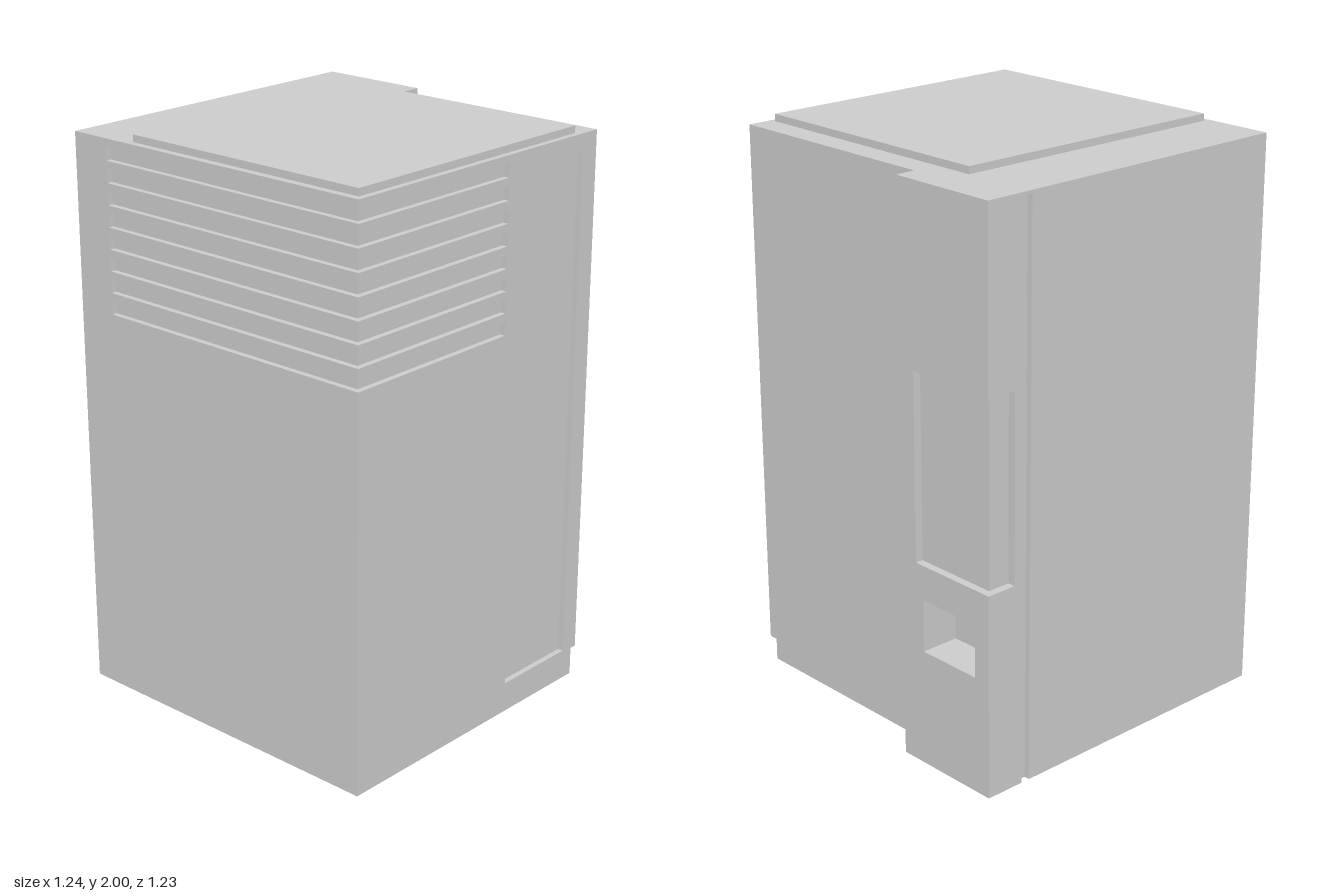
import * as THREE from 'three';

const X = 0.6175, FRONT = 0.6125, BACK = -0.545, POST_BACK = -0.6175, TOP = 1.975;
const SKIN = 0.02;                 // thickness of the outer panels
const POST_X = -0.21, POST_Z = -0.474, SEAM_Z = -0.44;
const material = new THREE.MeshStandardMaterial({ color: 0xcccccc });

function add(group, name, geometry) {
  const mesh = new THREE.Mesh(geometry, material);
  mesh.name = name;
  group.add(mesh);
  return mesh;
}

// box given by its limits on each axis
function box(group, name, [x0, x1], [y0, y1], [z0, z1]) {
  const g = new THREE.BoxGeometry(x1 - x0, y1 - y0, z1 - z0);
  g.translate((x0 + x1) / 2, (y0 + y1) / 2, (z0 + z1) / 2);
  return add(group, name, g);
}

const shapeOf = (points) => new THREE.Shape(points.map(([a, b]) => new THREE.Vector2(a, b)));
const extrude = (shape, depth) => new THREE.ExtrudeGeometry(shape, { depth, bevelEnabled: false });

// plan outline of [x, z] points raised from y0 to y1
function slab(group, name, plan, y0, y1) {
  const g = extrude(shapeOf(plan.map(([x, z]) => [x, -z])), y1 - y0);
  g.rotateX(-Math.PI / 2).translate(0, y0, 0);
  return add(group, name, g);
}

// stepped edge that cuts the eight louvre slots, from bottom to top
function louvreEdge(edge, inner) {
  const points = [];
  for (let i = 0; i < 8; i++) {
    const y = 1.382 + i * 0.0743;
    points.push([edge, y], [inner, y], [inner, y + 0.046], [edge, y + 0.046]);
  }
  return points;
}

export function createModel() {
  const model = new THREE.Group();
  model.name = 'cabinet';

  // main body, rear part and recessed kick base
  box(model, 'bodyCore', [-X, X - SKIN], [0, TOP], [SEAM_Z, FRONT - SKIN]);
  box(model, 'rearBody', [POST_X, X - SKIN], [0.1, TOP], [BACK, SEAM_Z]);
  box(model, 'kickBase', [POST_X, X - SKIN], [0, 0.1], [-0.52, SEAM_Z]);

  // front panel with louvre slots
  const frontShape = shapeOf([
    [-X, 0], [X - SKIN, 0], ...louvreEdge(X - SKIN, -0.47), [X - SKIN, TOP], [-X, TOP],
  ]);
  add(model, 'frontPanel', extrude(frontShape, SKIN).translate(0, 0, FRONT - SKIN));

  // side panel: louvre slots meet the front ones, tall recessed service panel behind
  const sideShape = shapeOf([
    [-0.52, 0], [FRONT, 0], ...louvreEdge(FRONT, -0.09), [FRONT, TOP],
    [BACK, TOP], [BACK, 0.1], [-0.52, 0.1],
  ]);
  sideShape.holes.push(shapeOf([[-0.473, 0.107], [-0.473, 1.92], [-0.145, 1.92], [-0.145, 0.107]]));
  add(model, 'sidePanel', extrude(sideShape, SKIN).rotateY(-Math.PI / 2).translate(X, 0, 0));

  // narrow vertical seam between body and control post
  box(model, 'seamFloor', [-X + 0.02, POST_X], [0, TOP], [POST_Z, SEAM_Z]);
  box(model, 'seamCap', [-X, -X + 0.02], [1.965, TOP], [POST_Z, SEAM_Z]);

  // control post: solid bands, tray pocket and wrap-around screen recess
  const post = new THREE.Group();
  post.name = 'controlPost';
  model.add(post);
  const full = [[-X, POST_Z], [POST_X, POST_Z], [POST_X, POST_BACK], [-X, POST_BACK]];
  const tray = [
    ...full.slice(0, 3), [-0.309, POST_BACK], [-0.309, -0.479],
    [-0.554, -0.479], [-0.554, POST_BACK], [-X, POST_BACK],
  ];
  const d = 0.028;
  const screen = [
    ...full.slice(0, 3), [-0.276, POST_BACK], [-0.276, POST_BACK + d],
    [-X + d, POST_BACK + d], [-X + d, -0.507], [-X, -0.507],
  ];
  slab(post, 'postFoot', full, 0, 0.41);
  slab(post, 'trayPocket', tray, 0.41, 0.594);
  slab(post, 'postMiddle', full, 0.594, 0.715);
  slab(post, 'screenRecess', screen, 0.715, 1.365);
  slab(post, 'postHead', full, 1.365, TOP);

  // thin top cover
  slab(model, 'topCover', [[-0.368, 0.587], [0.596, 0.587], [0.596, -0.455], [-0.358, -0.455]], TOP, 2);

  return model;
}
